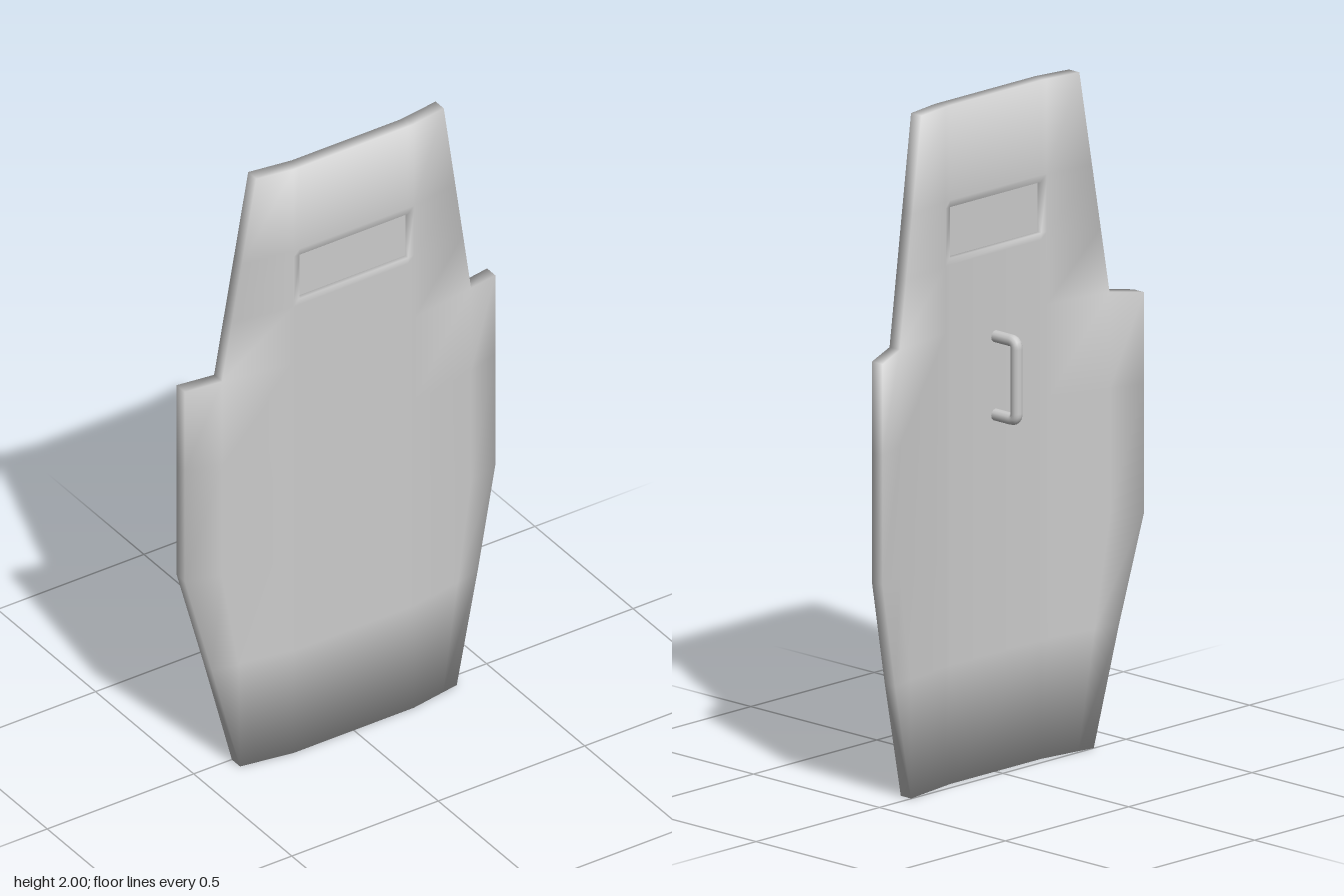
import * as THREE from 'three';

const material = () => new THREE.MeshStandardMaterial({ color: 0xcccccc });

// Piecewise linear lookup through [position, value] pairs
function sample(points, t) {
  if (t <= points[0][0]) return points[0][1];
  for (let k = 1; k < points.length; k++) {
    const [t0, v0] = points[k - 1], [t1, v1] = points[k];
    if (t <= t1) return v0 + (v1 - v0) * (t - t0) / (t1 - t0);
  }
  return points[points.length - 1][1];
}

// Curvature of the plate across its width
const frontZ = [[0.205, 0.07], [0.425, 0.033], [0.53, 0]];
const backZ = [[0.175, 0.03], [0.32, 0.009], [0.425, -0.008], [0.53, -0.042]];

// Outline: half width of the body, and of the narrower upper part
const bodyWidth = [[0, 0.37], [0.67, 0.53], [1.335, 0.53]];
const upperWidth = [[1.335, 0.425], [2, 0.32]];

const rows = [0, 0.35, 0.67, 1.05, 1.335, 1.53, 1.55, 1.7, 1.72, 2];
const SHOULDER = 4, WINDOW = 6, COLS = 8;

// Curved plate with a window hole; walls close every open edge
function plateGeometry() {
  const pos = [], index = [];
  rows.forEach((y, j) => {
    const hw = sample(bodyWidth, y);
    const mid = j >= SHOULDER ? sample(upperWidth, y) : 0.205 + (hw - 0.205) * 0.677;
    const half = [0.185, 0.205, mid, j > SHOULDER ? mid : hw];
    const xs = [...half.map(x => -x).reverse(), ...half];
    xs.forEach((x, i) => {
      const tip = j === SHOULDER && (i === 0 || i === COLS - 1);
      const yy = tip ? 1.32 : y;
      pos.push(x, yy, sample(frontZ, Math.abs(x)), x, yy, sample(backZ, Math.abs(x)));
    });
  });

  const at = k => new THREE.Vector3().fromArray(pos, k * 3);
  const normals = pos.map(() => 0);
  // Every quad counts equally in the smooth normals, giving soft rims
  const quad = (a, b, c, d) => {
    index.push(a, b, c, a, c, d);
    const n = at(c).sub(at(a)).cross(at(d).sub(at(b))).normalize();
    for (const v of [a, b, c, d]) {
      normals[v * 3] += n.x;
      normals[v * 3 + 1] += n.y;
      normals[v * 3 + 2] += n.z;
    }
  };
  const solid = (i, j) => i >= 0 && i < COLS - 1 && j >= 0 && j < rows.length - 1
    && !(i === 3 && j === WINDOW)
    && !((i === 0 || i === COLS - 2) && j >= SHOULDER);
  const id = (i, j) => (j * COLS + i) * 2;

  for (let j = 0; j < rows.length - 1; j++) {
    for (let i = 0; i < COLS - 1; i++) {
      if (!solid(i, j)) continue;
      const c = [id(i, j), id(i + 1, j), id(i + 1, j + 1), id(i, j + 1)];
      quad(...c);
      quad(c[3] + 1, c[2] + 1, c[1] + 1, c[0] + 1);
      [[0, -1], [1, 0], [0, 1], [-1, 0]].forEach(([di, dj], k) => {
        if (solid(i + di, j + dj)) return;
        const p = c[k], q = c[(k + 1) % 4];
        quad(q, p, p + 1, q + 1);
      });
    }
  }
  const geo = new THREE.BufferGeometry();
  geo.setAttribute('position', new THREE.Float32BufferAttribute(pos, 3));
  geo.setAttribute('normal', new THREE.Float32BufferAttribute(normals, 3));
  geo.setIndex(index);
  geo.normalizeNormals();
  return geo;
}

// Bracket-shaped grip path with tight bends
function handleGeometry() {
  const v = (y, z) => new THREE.Vector3(0, y, z);
  const top = 1.283, low = 1.052, out = -0.055, bend = 0.02;
  const path = new THREE.CurvePath();
  path.add(new THREE.LineCurve3(v(top, 0.04), v(top, out + bend)));
  path.add(new THREE.QuadraticBezierCurve3(v(top, out + bend), v(top, out), v(top - bend, out)));
  path.add(new THREE.LineCurve3(v(top - bend, out), v(low + bend, out)));
  path.add(new THREE.QuadraticBezierCurve3(v(low + bend, out), v(low, out), v(low, out + bend)));
  path.add(new THREE.LineCurve3(v(low, out + bend), v(low, 0.04)));
  return new THREE.TubeGeometry(path, 60, 0.0175, 12, false);
}

export function createModel() {
  const group = new THREE.Group();
  group.name = 'shield';
  const add = (name, geometry) => {
    const mesh = new THREE.Mesh(geometry, material());
    mesh.name = name;
    group.add(mesh);
    return mesh;
  };

  add('plate', plateGeometry());
  // Pane recessed from both faces
  add('windowPane', new THREE.BoxGeometry(0.372, 0.152, 0.012)).position.set(0, 1.625, 0.05);
  add('handle', handleGeometry());
  return group;
}
